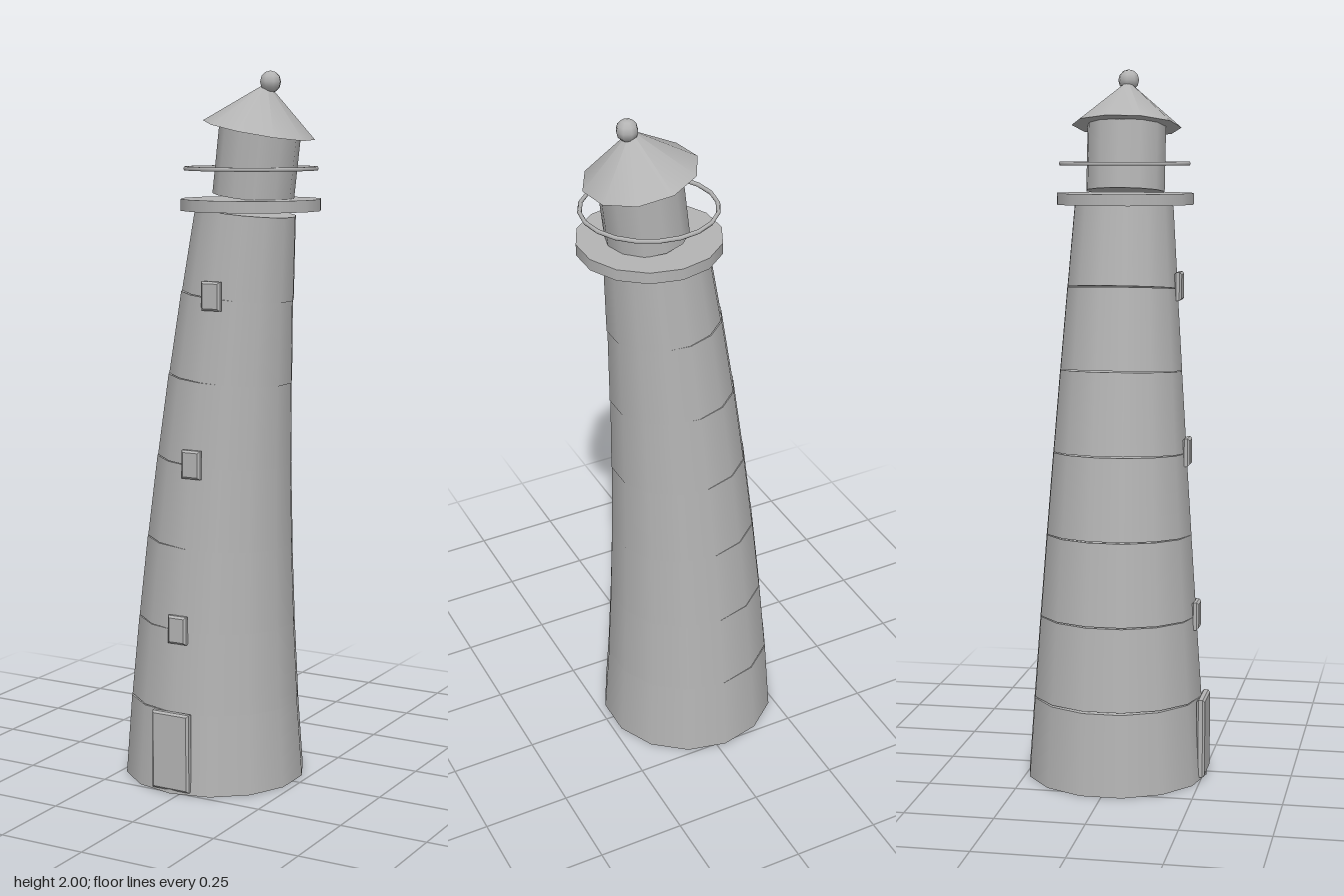
import * as THREE from 'three';

export function createModel() {
  const model = new THREE.Group();
  model.name = 'leaningLighthouse';
  const stone = new THREE.MeshStandardMaterial({ color: 0xb4b4b4 });
  stone.name = 'grey stone';

  const add = (name, geometry, x, y, z = 0, lean = 0) => {
    const mesh = new THREE.Mesh(geometry, stone);
    mesh.name = name;
    mesh.position.set(x, y, z);
    mesh.rotation.z = -lean;
    model.add(mesh);
    return mesh;
  };

  // Tower: tapering drums whose lean grows with height
  const drums = 7, step = 0.2312, height = drums * step;
  const axisX = y => -0.0275 + 0.0381 * y * y;
  const radius = y => 0.26 - 0.118 * y / height;
  for (let i = 0; i < drums; i++) {
    const y0 = i * step, y1 = y0 + step;
    const lean = i === 0 ? 0 : Math.atan(0.068 * (y0 + y1) / 2);
    add('towerDrum' + (i + 1), new THREE.CylinderGeometry(radius(y1), radius(y0), step, 14),
      (axisX(y0) + axisX(y1)) / 2, (y0 + y1) / 2, 0, lean);
  }

  // Gallery deck and its thin railing, both level
  add('galleryDeck', new THREE.CylinderGeometry(0.197, 0.197, 0.032, 14), 0.0875, 1.637);
  const rail = new THREE.TorusGeometry(0.182, 0.006, 6, 20);
  rail.rotateX(Math.PI / 2);
  add('galleryRail', rail, 0.0875, 1.736);

  // Tilted lantern room, roof and finial
  add('lanternRoom', new THREE.CylinderGeometry(0.113, 0.113, 0.19, 12), 0.105, 1.752, 0, 0.115);
  const roof = new THREE.ConeGeometry(0.156, 0.13, 10);
  roof.rotateY(0.13);
  add('roof', roof, 0.124, 1.904, 0, 0.19);
  add('finial', new THREE.SphereGeometry(0.03, 8, 6), 0.147, 1.97);

  // Bevelled panels set on the front wall
  const panel = (w, h, d) => {
    const b = 0.006, x = w / 2 - b, y = h / 2 - b;
    const shape = new THREE.Shape();
    shape.moveTo(-x, -y).lineTo(x, -y).lineTo(x, y).lineTo(-x, y).closePath();
    const geometry = new THREE.ExtrudeGeometry(shape, {
      depth: d - 2 * b, bevelEnabled: true, bevelSize: b, bevelThickness: b, bevelSegments: 1,
    });
    return geometry.center();
  };
  add('door', panel(0.118, 0.225, 0.024), -0.027, 0.121, 0.249);
  const windows = [[-0.0185, 0.466, 0.226], [0.008, 0.93, 0.194], [0.053, 1.394, 0.162]];
  windows.forEach(([x, y, z], i) => add('window' + (i + 1), panel(0.058, 0.08, 0.021), x, y, z));

  return model;
}
